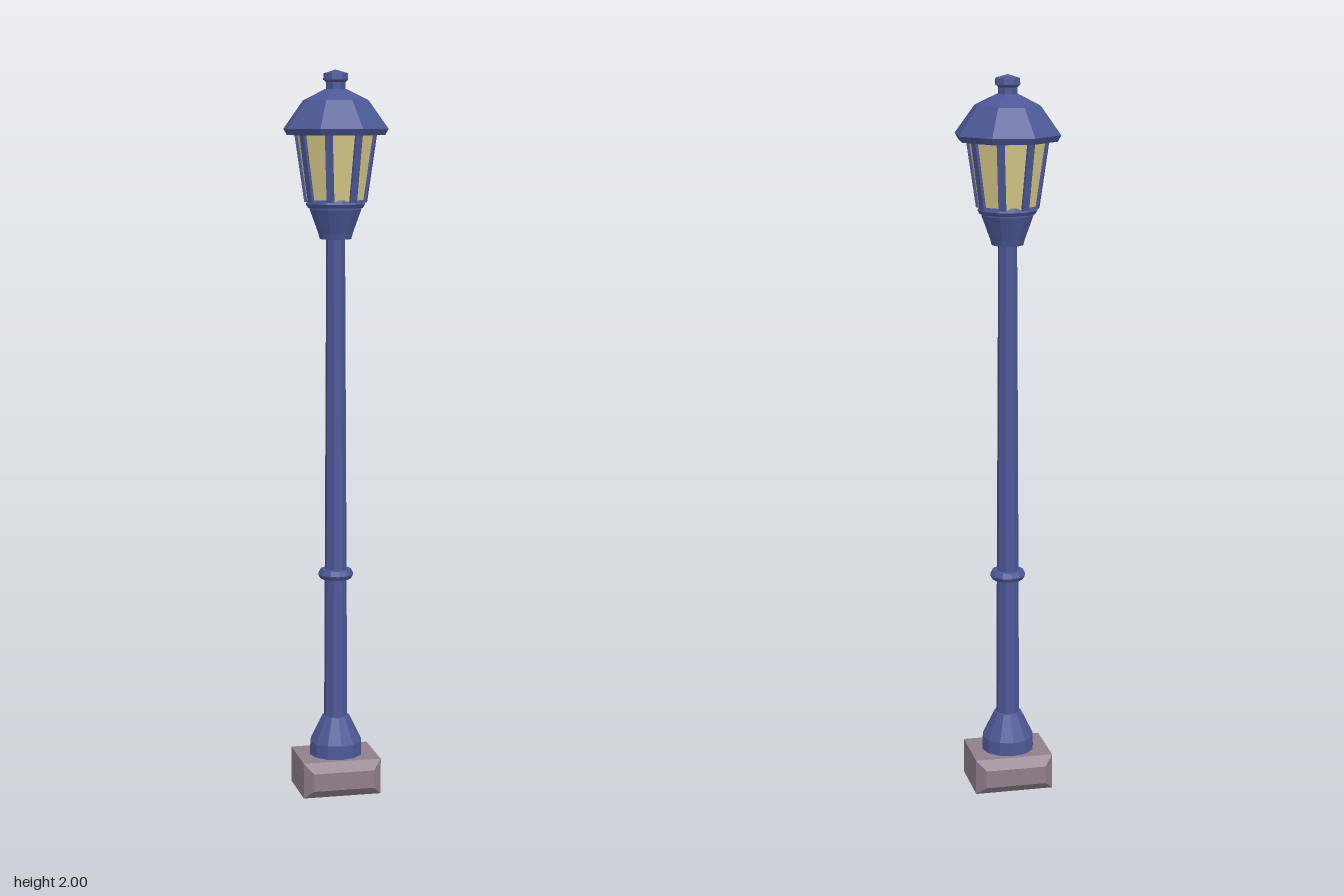
import * as THREE from 'three';

export function createModel() {
  const group = new THREE.Group();
  group.name = 'streetLamp';

  const mat = (name, color) => {
    const m = new THREE.MeshStandardMaterial({ color });
    m.name = name;
    m.flatShading = true;
    return m;
  };
  const blue = mat('blue painted metal', 0x4c5896);
  const stone = mat('stone', 0x8f7f8b);
  const glass = mat('pale yellow glass', 0xd6c98a);

  const add = (name, geometry, material) => {
    const mesh = new THREE.Mesh(geometry, material);
    mesh.name = name;
    group.add(mesh);
    return mesh;
  };
  // Faceted turned part from [radius, height] pairs, bottom to top
  const turned = (name, points, sides, turn, material = blue) =>
    add(name, new THREE.LatheGeometry(
      points.map(([r, y]) => new THREE.Vector2(r, y)), sides, turn), material);

  const eighth = Math.PI / 8;
  const roofTurn = THREE.MathUtils.degToRad(16.5);

  // Stone block, bevelled on its front and back faces
  const w = 0.085, h = 0.025, bevel = 0.025;
  const outline = new THREE.Shape([
    new THREE.Vector2(-w, -h), new THREE.Vector2(w, -h),
    new THREE.Vector2(w, h), new THREE.Vector2(-w, h),
  ]);
  const block = new THREE.ExtrudeGeometry(outline, {
    depth: 2 * w, bevelEnabled: true, bevelSegments: 1, bevelSize: bevel, bevelThickness: bevel,
  });
  block.translate(0, 0.05, -w);
  add('baseBlock', block, stone);

  // Flared foot, tapering pole and its collar
  turned('foot', [[0, 0.1], [0.074, 0.1], [0.073, 0.138], [0.055, 0.175], [0.038, 0.21], [0, 0.213]], 12, 0);
  turned('pole', [[0.033, 0.2], [0.026, 1.56]], 8, eighth);
  turned('collar', [[0.028, 0.603], [0.043, 0.603], [0.05, 0.615], [0.043, 0.629], [0.028, 0.629]], 12, 0);

  // Lantern cup with a rim
  turned('lanternCup', [[0, 1.545], [0.044, 1.545], [0.048, 1.56], [0.072, 1.625], [0.072, 1.635], [0, 1.635]], 12, 0);
  turned('lanternRim', [[0.06, 1.63], [0.077, 1.63], [0.083, 1.64], [0.078, 1.652], [0, 1.652]], 12, 0);

  // Eight-sided glass, flat pane to the front
  const bottom = 1.645, top = 1.835;
  turned('glass', [[0.081, bottom], [0.109, top]], 8, eighth, glass);

  // Slanted corner posts
  const postGeometry = new THREE.BoxGeometry(0.02, top - bottom, 0.012);
  const p = postGeometry.attributes.position;
  for (let i = 0; i < p.count; i++) {
    p.setZ(i, p.getZ(i) + (p.getY(i) > 0 ? 0.107 : 0.079));
  }
  postGeometry.computeVertexNormals();
  for (let i = 0; i < 8; i++) {
    const post = add('lanternPost', postGeometry, blue);
    post.position.y = (bottom + top) / 2;
    post.rotation.y = eighth * (2 * i + 1);
  }

  // Eight-sided roof with brim, slightly turned
  turned('roof', [[0, 1.825], [0.138, 1.825], [0.148, 1.842], [0.092, 1.918], [0.03, 1.948], [0, 1.95]], 8, roofTurn);

  // Finial
  turned('finial', [[0.027, 1.94], [0.027, 1.966], [0.035, 1.973], [0.034, 1.99], [0, 2]], 8, roofTurn);

  return group;
}
